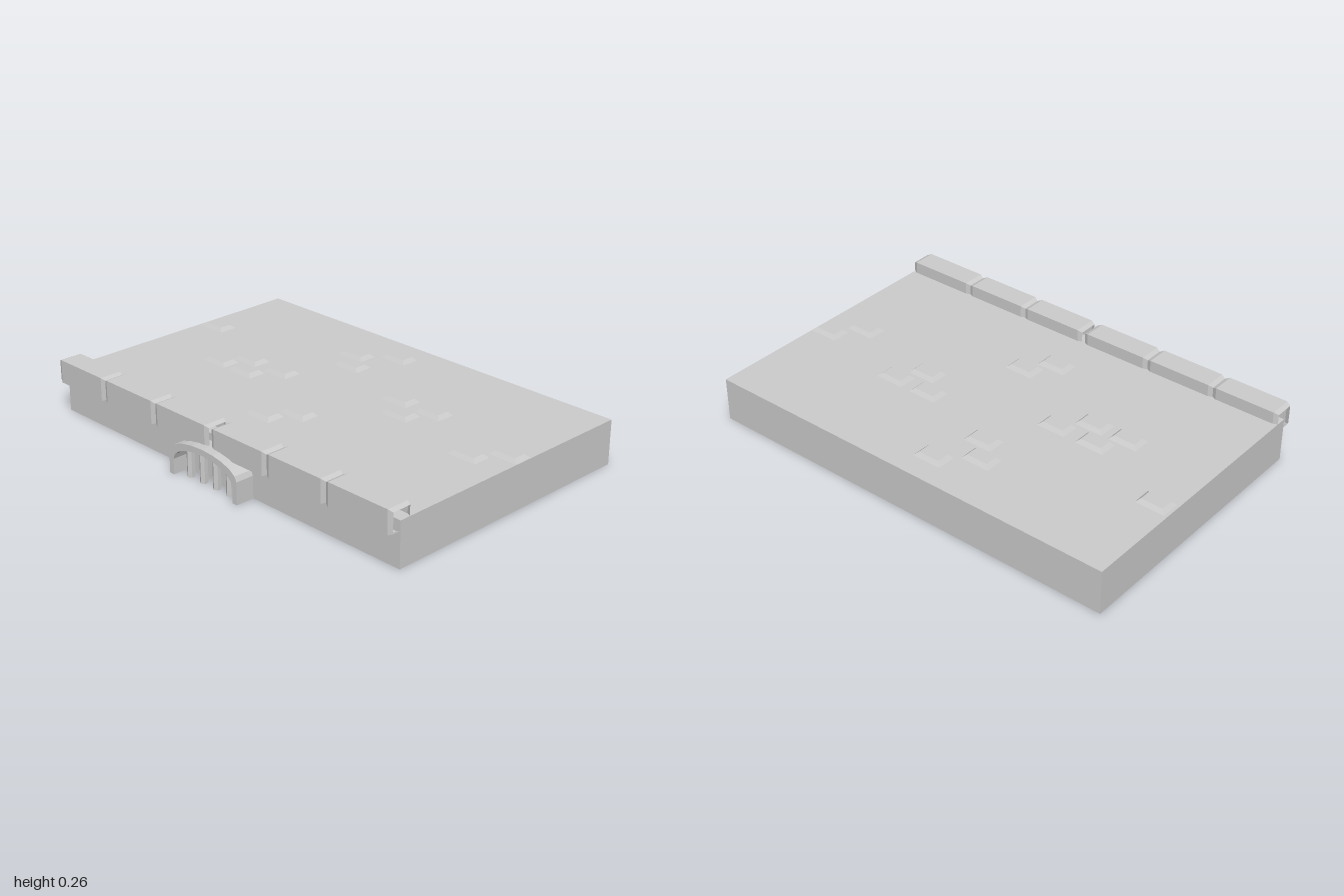
import * as THREE from 'three';

const mat = new THREE.MeshStandardMaterial({ color: 0xcccccc, flatShading: true, side: THREE.DoubleSide });

function add(parent, name, geometry, x = 0, y = 0, z = 0) {
  const mesh = new THREE.Mesh(geometry, mat);
  mesh.name = name;
  mesh.position.set(x, y, z);
  parent.add(mesh);
  return mesh;
}

// Box without its underside
function openBox(w, h, d) {
  const g = new THREE.BoxGeometry(w, h, d);
  const idx = Array.from(g.index.array);
  idx.splice(18, 6);
  g.setIndex(idx);
  g.clearGroups();
  return g;
}

// Open square tube along x; each section is [x, half size]
function squareTube(sections) {
  const pos = [], idx = [];
  for (const [x, h] of sections)
    for (const [y, z] of [[-1, -1], [1, -1], [1, 1], [-1, 1]]) pos.push(x, y * h, z * h);
  for (let i = 0; i < sections.length - 1; i++)
    for (let j = 0; j < 4; j++) {
      const a = i * 4 + j, b = i * 4 + (j + 1) % 4;
      idx.push(a, b, b + 4, a, b + 4, a + 4);
    }
  const g = new THREE.BufferGeometry();
  g.setAttribute('position', new THREE.Float32BufferAttribute(pos, 3));
  g.setIndex(idx);
  const flat = g.toNonIndexed();
  flat.computeVertexNormals();
  return flat;
}

// Brick with sloping sides, open below
function brickGeometry(w, h, d) {
  const g = openBox(w, h, d);
  const p = g.attributes.position;
  for (let i = 0; i < p.count; i++)
    if (p.getY(i) > 0) {
      p.setX(i, Math.sign(p.getX(i)) * (w / 2 - 0.018));
      p.setZ(i, Math.sign(p.getZ(i)) * (d / 2 - 0.016));
    }
  g.computeVertexNormals();
  return g;
}

// Points over the arch from right to left
function archPoints(halfWidth, spring, top, n = 10) {
  const pts = [];
  for (let i = 0; i <= n; i++) {
    const a = Math.PI * i / n;
    pts.push(new THREE.Vector2(Math.cos(a) * halfWidth, spring + Math.sin(a) * (top - spring)));
  }
  return pts;
}

export function createModel() {
  const group = new THREE.Group();

  // Ground slab, hollow underneath
  add(group, 'slab', openBox(2, 0.202, 1.257), 0, 0.101, -0.0435);

  // Coping along the front edge: two runs of three blocks with pinched joints
  const h = 0.053, pinch = 0.044;
  for (const joints of [[-1, -0.68, -0.345, -0.008], [0.008, 0.33, 0.655, 1]]) {
    const sections = [];
    for (let i = 0; i < 3; i++) {
      const a = joints[i], b = joints[i + 1];
      sections.push([a, pinch], [a + 0.02, h], [b - 0.02, h]);
    }
    sections.push([joints[3], pinch]);
    add(group, 'coping', squareTube(sections), 0, 0.204, 0.58);
  }

  // Drain arch
  const drain = new THREE.Group();
  drain.name = 'drain';
  group.add(drain);
  const shape = new THREE.Shape([
    new THREE.Vector2(0.205, 0),
    ...archPoints(0.205, 0.1, 0.172),
    new THREE.Vector2(-0.205, 0),
    new THREE.Vector2(-0.18, 0),
    ...archPoints(0.18, 0.07, 0.145).reverse(),
    new THREE.Vector2(0.18, 0),
  ]);
  add(drain, 'arch', new THREE.ExtrudeGeometry(shape, { depth: 0.1, bevelEnabled: false }), 0, 0, 0.572);

  // Grate bars
  for (const x of [-0.12, -0.04, 0.04, 0.12]) {
    const top = 0.075 + 0.075 * Math.sqrt(1 - (x / 0.18) ** 2);
    add(drain, 'bar', new THREE.CylinderGeometry(0.018, 0.018, top, 6), x, top / 2, 0.63);
  }

  // Scattered paving bricks
  const bricks = [
    [-0.055, -0.527], [-0.215, -0.42], [-0.14, -0.318], [-0.917, -0.214], [0.265, -0.197],
    [0.45, -0.197], [0.365, -0.09], [0.928, -0.11], [0.815, 0.003], [-0.5, -0.048],
    [-0.307, -0.048], [-0.59, 0.056], [-0.42, 0.056], [0.067, 0.203], [-0.024, 0.31],
  ];
  const brick = brickGeometry(0.138, 0.016, 0.088);
  for (const [x, z] of bricks) add(group, 'brick', brick, x, 0.21, z);

  return group;
}
